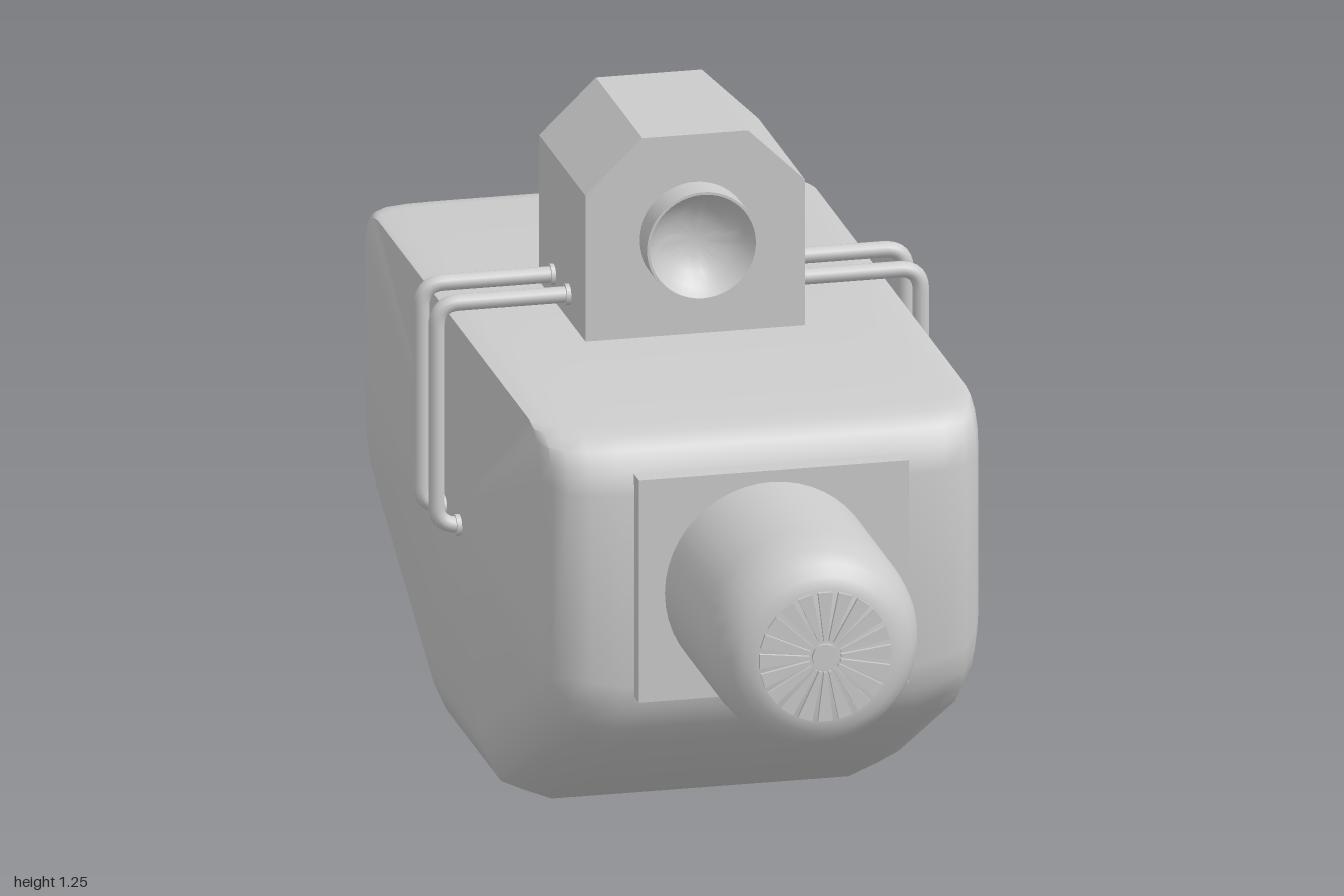
import * as THREE from 'three';
import { toCreasedNormals } from 'three/addons/utils/BufferGeometryUtils.js';

const material = new THREE.MeshStandardMaterial({ color: 0xcccccc });

function add(parent, name, geometry, x = 0, y = 0, z = 0) {
  const mesh = new THREE.Mesh(geometry, material);
  mesh.name = name;
  mesh.position.set(x, y, z);
  parent.add(mesh);
  return mesh;
}

// Revolved part whose axis points along z
function turned(points, segments = 48) {
  const g = new THREE.LatheGeometry(points.map(p => new THREE.Vector2(p[0], p[1])), segments);
  g.rotateX(Math.PI / 2);
  return toCreasedNormals(g, 0.6);
}

// Hull: side profiles lofted across x, drawn in at the ends and bottom but not the top
function hullGeometry() {
  const top = 0.865, mid = -0.23;
  const profile = dent => [
    [0.43, top], [0.47, 0.857], [0.505, 0.838], [0.527, 0.805], [0.535, 0.76],
    [0.535, 0.39], [0.525, 0.34], [0.5, 0.298], [0.44, 0.25],
    [-0.01, 0], [-0.06, 0], [-0.3, dent], [-0.302, 0], [-0.45, 0],
    [-0.9, 0.25], [-0.96, 0.298], [-0.99, 0.34], [-1, 0.39],
    [-1, 0.76], [-0.992, 0.805], [-0.97, 0.838], [-0.935, 0.857], [-0.89, top],
  ];
  // x, end inset, bottom lift, depth of the recess underneath
  const half = [
    [0.23, 0, 0, 0.08], [0.232, 0, 0, 0], [0.28, 0, 0, 0], [0.335, 0.004, 0.022, 0],
    [0.375, 0.015, 0.04, 0], [0.4, 0.04, 0.095, 0], [0.413, 0.075, 0.135, 0],
  ];
  const sections = [...half].reverse().map(([x, ...rest]) => [-x, ...rest]).concat(half);
  const n = profile(0).length, pos = [], index = [];
  for (const [x, inset, lift, dent] of sections) {
    for (const [z, y] of profile(dent)) {
      pos.push(x, top - (top - y) * (1 - lift / top), mid + (z - mid) * (1 - inset / 0.765));
    }
  }
  for (let i = 0; i < sections.length - 1; i++) {
    for (let j = 0; j < n; j++) {
      const k = (j + 1) % n;
      const a = i * n + j, b = i * n + k, c = b + n, d = a + n;
      index.push(a, b, d, b, c, d);
    }
  }
  const last = (sections.length - 1) * n, centre = sections.length * n;
  pos.push(-0.413, 0.5, mid, 0.413, 0.5, mid);
  for (let j = 0; j < n; j++) {
    const k = (j + 1) % n;
    index.push(centre, k, j, centre + 1, last + j, last + k);
  }
  const g = new THREE.BufferGeometry();
  g.setAttribute('position', new THREE.Float32BufferAttribute(pos, 3));
  g.setIndex(index);
  return toCreasedNormals(g, 0.8);
}

// Front nozzle with its mounting plate and radial grille
function nozzle() {
  const group = new THREE.Group();
  group.name = 'nozzle';
  add(group, 'mountingPlate', new THREE.BoxGeometry(0.51, 0.43, 0.06), 0, 0.585, 0.54);
  add(group, 'barrel', turned([
    [0.2, 0.56], [0.2, 0.86], [0.197, 0.9], [0.187, 0.94], [0.17, 0.97],
    [0.15, 0.986], [0.127, 0.993], [0, 0.993],
  ]), -0.005, 0.578, 0);
  const blade = new THREE.Shape();
  blade.moveTo(0.03, -0.003);
  blade.lineTo(0.124, -0.014);
  blade.lineTo(0.124, 0.014);
  blade.lineTo(0.03, 0.003);
  const bladeGeometry = new THREE.ExtrudeGeometry(blade, { depth: 0.01, bevelEnabled: false });
  const count = 20;
  for (let i = 0; i < count; i++) {
    const mesh = add(group, 'grilleBlade', bladeGeometry, -0.005, 0.578, 0.99);
    mesh.rotation.z = (i / count) * Math.PI * 2;
  }
  const hub = new THREE.CylinderGeometry(0.024, 0.024, 0.012, 24);
  hub.rotateX(Math.PI / 2);
  add(group, 'grilleHub', hub, -0.005, 0.578, 0.994);
  return group;
}

// Turret block with chamfered top corners
function turretGeometry() {
  const s = new THREE.Shape();
  s.moveTo(-0.207, 0.8);
  s.lineTo(0.207, 0.8);
  s.lineTo(0.207, 1.147);
  s.lineTo(0.1, 1.25);
  s.lineTo(-0.1, 1.25);
  s.lineTo(-0.207, 1.147);
  return new THREE.ExtrudeGeometry(s, { depth: 0.365, bevelEnabled: false });
}

// Hollow dish on a short neck
function dish(name) {
  const group = new THREE.Group();
  group.name = name;
  add(group, 'dishCup', turned([
    [0, 0], [0.105, 0], [0.105, 0.063], [0.1, 0.063],
    [0.085, 0.042], [0.062, 0.024], [0.035, 0.013], [0, 0.009],
  ]));
  add(group, 'dishNeck', turned([[0.035, -0.03], [0.035, 0.005]], 24));
  return group;
}

// Bent rod from the turret down to the side of the hull
function rodGeometry(side) {
  const v = (x, y) => new THREE.Vector3(side * x, y, 0);
  const path = new THREE.CurvePath();
  path.add(new THREE.LineCurve3(v(0.19, 0.915), v(0.415, 0.915)));
  path.add(new THREE.QuadraticBezierCurve3(v(0.415, 0.915), v(0.457, 0.915), v(0.457, 0.873)));
  path.add(new THREE.LineCurve3(v(0.457, 0.873), v(0.457, 0.522)));
  path.add(new THREE.QuadraticBezierCurve3(v(0.457, 0.522), v(0.457, 0.494), v(0.428, 0.487)));
  path.add(new THREE.LineCurve3(v(0.428, 0.487), v(0.4, 0.484)));
  return new THREE.TubeGeometry(path, 80, 0.0155, 12, false);
}

export function createModel() {
  const model = new THREE.Group();
  model.name = 'machine';
  add(model, 'hull', hullGeometry());
  model.add(nozzle());
  add(model, 'turret', turretGeometry(), 0, 0, -0.415);

  // Dishes facing front and back
  const front = dish('frontDish');
  front.position.set(-0.005, 1.06, -0.03);
  const back = dish('backDish');
  back.position.set(-0.005, 1.06, -0.43);
  back.rotation.y = Math.PI;
  add(back, 'dishReceiver', turned([[0.033, 0], [0.033, 0.022], [0, 0.022]], 24));
  model.add(front, back);

  // Two rods on each side, with collars at both ends
  const collar = new THREE.CylinderGeometry(0.02, 0.02, 0.016, 16);
  collar.rotateZ(Math.PI / 2);
  for (const side of [-1, 1]) {
    const geometry = rodGeometry(side);
    for (const z of [-0.18, -0.3]) {
      add(model, 'sideRod', geometry, 0, 0, z);
      add(model, 'upperCollar', collar, side * 0.207, 0.915, z);
      add(model, 'lowerCollar', collar, side * 0.414, 0.485, z);
    }
  }
  return model;
}
